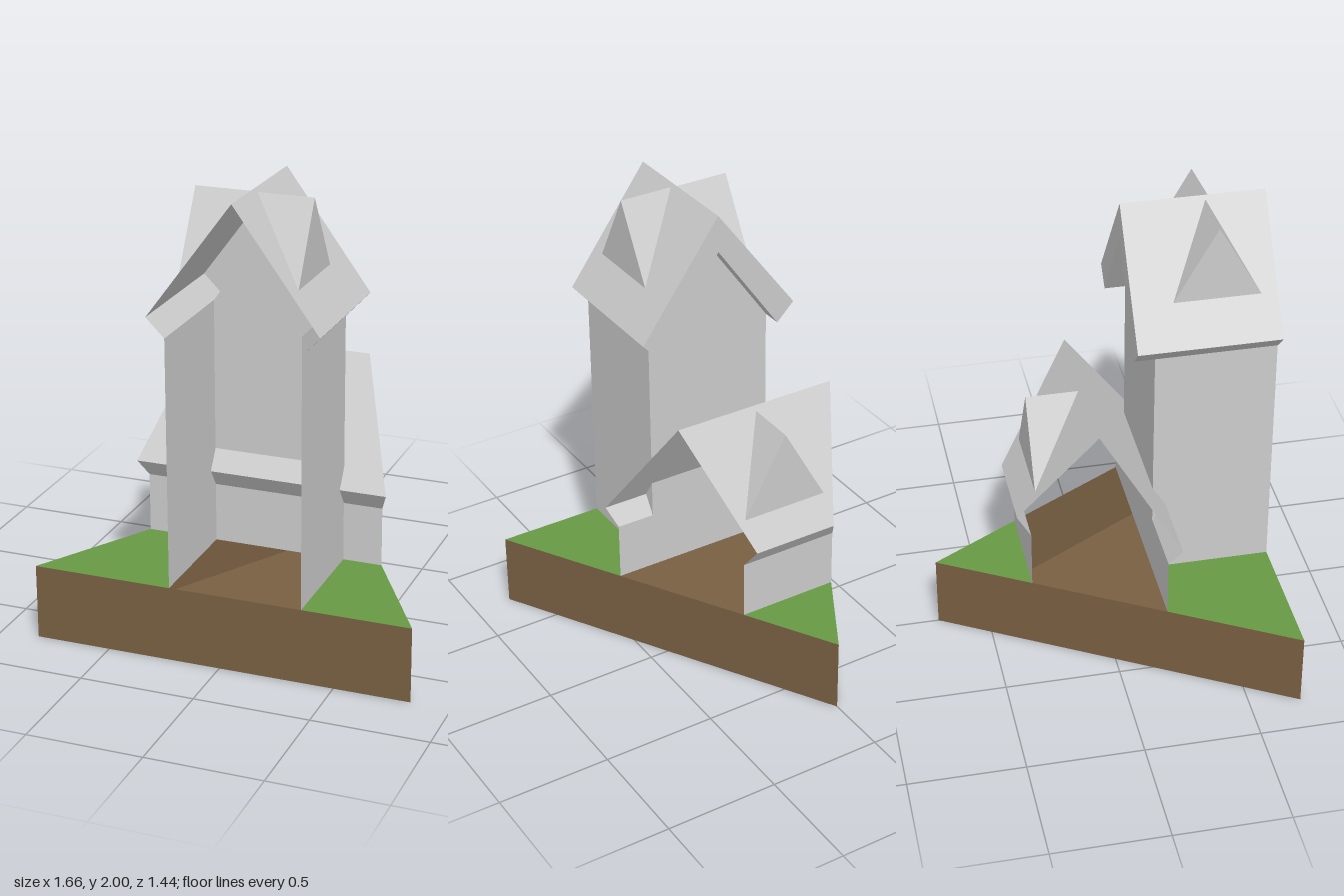
import * as THREE from 'three';

const mat = (color) => new THREE.MeshStandardMaterial({ color, side: THREE.DoubleSide, flatShading: true });
const grey = mat(0xcccccc);
const earthMat = mat(0x795f42);
const grassMat = mat(0x669944);

// Mesh of convex polygons, each a loop of [x, y, z] corners.
function sheet(name, polygons, material = grey) {
  const pos = [];
  for (const p of polygons)
    for (let i = 1; i < p.length - 1; i++) pos.push(...p[0], ...p[i], ...p[i + 1]);
  const geo = new THREE.BufferGeometry();
  geo.setAttribute('position', new THREE.Float32BufferAttribute(pos, 3));
  geo.computeVertexNormals();
  const mesh = new THREE.Mesh(geo, material);
  mesh.name = name;
  return mesh;
}

const GROUND = 0.33;
const FRONT = 0.72;
// Half width of the triangular plot at depth z.
const half = (z) => (0.83 * (z + 0.72)) / 1.44;

// Strip between two lines running across the plot, trimmed to its sides.
const across = (y0, z0, y1, z1) => [
  [-half(z0), y0, z0], [half(z0), y0, z0], [half(z1), y1, z1], [-half(z1), y1, z1],
];
// Strip running front to back between two points of the tower section.
const along = (a, b, z0, z1 = FRONT) => [
  [a[0], a[1], z1], [b[0], b[1], z1], [b[0], b[1], z0], [a[0], a[1], z0],
];

function createPlot() {
  const plot = new THREE.Group();
  plot.name = 'plot';
  const corners = [[-0.83, FRONT], [0.83, FRONT], [0, -0.72]];
  const sides = corners.map(([x, z], i) => {
    const [x2, z2] = corners[(i + 1) % 3];
    return [[x, 0, z], [x2, 0, z2], [x2, GROUND, z2], [x, GROUND, z]];
  });
  const bottom = corners.map(([x, z]) => [x, 0, z]).reverse();
  plot.add(sheet('earth', [...sides, bottom], earthMat));

  // Grass stops at the house walls
  const g = (x, z) => [x, GROUND, z];
  plot.add(sheet('grass', [
    [g(-half(-0.33), -0.33), g(half(-0.33), -0.33), g(0, -0.72)],
    [g(-0.83, FRONT), g(-0.22, FRONT), g(-0.22, 0.2), g(-half(0.2), 0.2)],
    [g(0.36, FRONT), g(0.83, FRONT), g(half(0.2), 0.2), g(0.36, 0.2)],
  ], grassMat));
  return plot;
}

function createWing() {
  const wing = new THREE.Group();
  wing.name = 'wing';
  const w = half(0.2);
  const wallPart = (x0, x1) => [[x0, GROUND, 0.2], [x1, GROUND, 0.2], [x1, 0.59, 0.2], [x0, 0.59, 0.2]];
  wing.add(sheet('wingWalls', [
    wallPart(-w, -0.22), wallPart(0.36, w),
    across(0.59, -0.33, GROUND, -0.33),
  ]));
  wing.add(sheet('wingRoof', [
    across(0.67, 0.255, 1.17, -0.065),
    across(1.17, -0.065, 0.67, -0.385),
  ]));
  wing.add(sheet('wingEaves', [
    across(0.59, 0.2, 0.67, 0.255),
    across(0.67, -0.385, 0.59, -0.33),
  ]));
  return wing;
}

function createTower() {
  const tower = new THREE.Group();
  tower.name = 'tower';
  const BACK = 0.2, RIM = 0.11;
  const ridge = [0.07, 2], inner = [0.07, 1.835];
  const tips = [[-0.3, 1.5], [0.435, 1.5]];
  const feet = [[-0.22, 1.42], [0.36, 1.42]];
  const at = (p, z) => [p[0], p[1], z];

  tower.add(sheet('towerSideWalls', [
    along([-0.22, GROUND], feet[0], BACK),
    along([0.36, GROUND], [0.36, 1.5], BACK),
  ]));
  tower.add(sheet('towerBackWall', [
    [[-0.22, GROUND, BACK], [0.36, GROUND, BACK], at(feet[1], BACK), at(inner, BACK), at(feet[0], BACK)],
    [at(feet[1], BACK), [0.36, 1.5, BACK], [0.3, 1.5, BACK]],
  ]));
  tower.add(sheet('towerRoof', tips.map((t) => along(t, ridge, RIM))));
  tower.add(sheet('towerEaves', tips.map((t, i) => along(t, feet[i], RIM))));
  // Overhang behind the back wall: end face and underside
  tower.add(sheet('towerRoofRim', tips.map((t, i) =>
    [at(ridge, RIM), at(t, RIM), at(feet[i], RIM), at(inner, RIM)])));
  tower.add(sheet('towerRoofUnderside', feet.map((f) => along(f, inner, RIM, BACK))));
  return tower;
}

// Dormer: a gable (apex, two base corners) with two slopes running to the tip.
const dormer = (name, apex, a, b, tip) => sheet(name, [[a, b, apex], [apex, b, tip], [a, apex, tip]]);

export function createModel() {
  const model = new THREE.Group();
  model.name = 'house';
  model.add(createPlot(), createWing(), createTower());
  model.add(
    dormer('wingDormer', [0.005, 1.15, -0.305], [0.21, 0.78, -0.305], [-0.2, 0.78, -0.305], [0.005, 1.15, -0.07]),
    dormer('leftTowerDormer', [0.32, 1.985, 0.47], [0.32, 1.66, 0.65], [0.32, 1.66, 0.285], [0.08, 1.985, 0.47]),
    dormer('rightTowerDormer', [-0.185, 1.985, 0.465], [-0.185, 1.66, 0.28], [-0.185, 1.66, 0.65], [0.058, 1.985, 0.465]),
  );
  return model;
}
